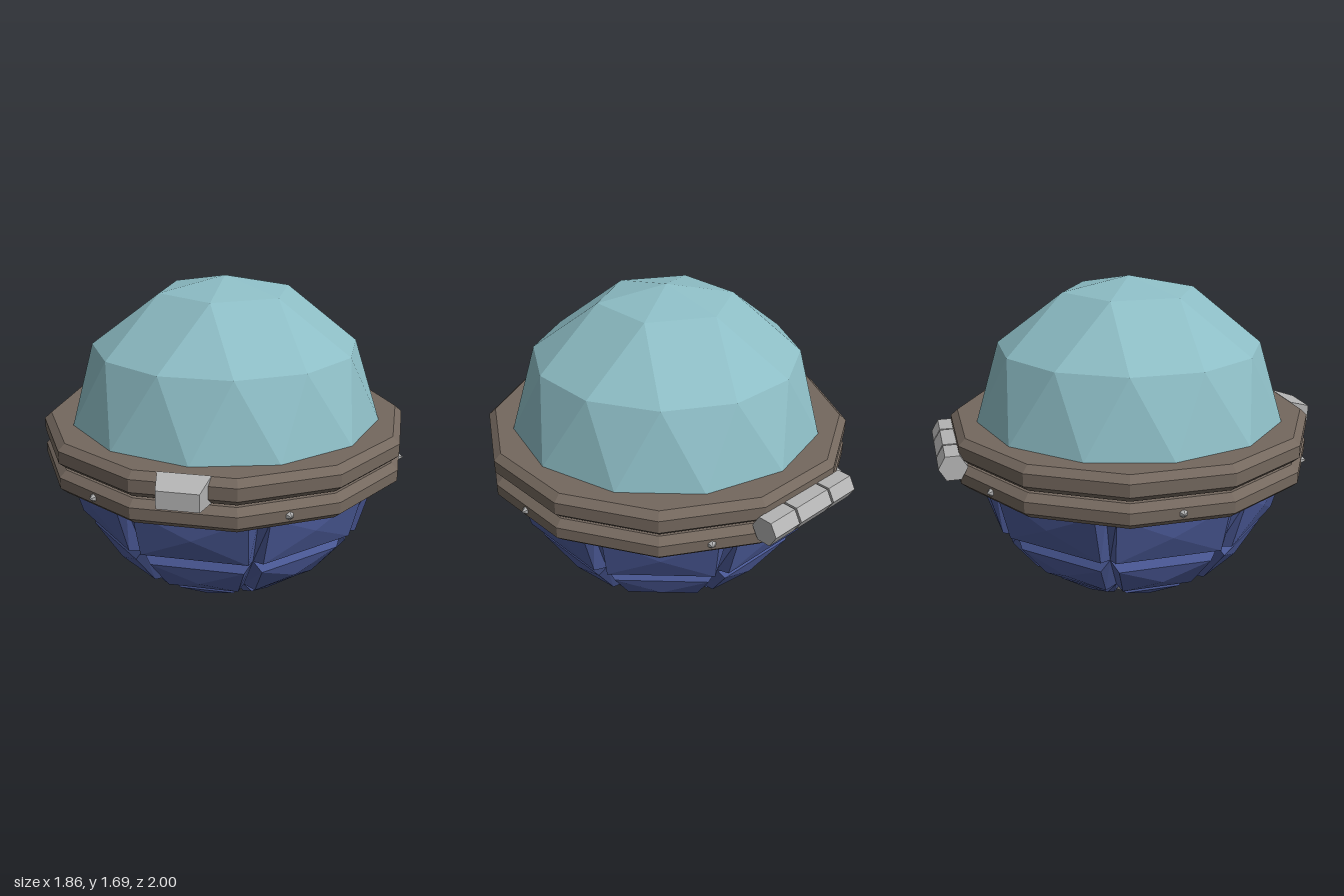
import * as THREE from 'three';

const mat = (name, color) => Object.assign(new THREE.MeshStandardMaterial({ color }), { name });

// Flat-shaded solid from convex polygons, each turned to face away from an inner point
function facets(polys, center) {
  const pos = [];
  const n = new THREE.Vector3(), u = new THREE.Vector3(), v = new THREE.Vector3();
  for (const p of polys) {
    for (let i = 1; i < p.length - 1; i++) {
      const t = [p[0], p[i], p[i + 1]];
      n.crossVectors(u.subVectors(t[1], t[0]), v.subVectors(t[2], t[0]));
      if (n.dot(u.subVectors(t[0], center)) < 0) t.reverse();
      t.forEach(q => pos.push(q.x, q.y, q.z));
    }
  }
  const g = new THREE.BufferGeometry();
  g.setAttribute('position', new THREE.Float32BufferAttribute(pos, 3));
  g.computeVertexNormals();
  return g;
}

function flat(g) {
  const f = g.index ? g.toNonIndexed() : g;
  f.computeVertexNormals();
  return f;
}

const V = (x, y, z) => new THREE.Vector3(x, y, z);
const polar = (r, deg, y) => {
  const a = THREE.MathUtils.degToRad(deg);
  return V(r * Math.sin(a), y, r * Math.cos(a));
};

// Lathe whose flat sides face the axes; radii are measured to the flats
function prismLathe(profile, sides) {
  const k = 1 / Math.cos(Math.PI / sides);
  const g = new THREE.LatheGeometry(profile.map(([r, y]) => new THREE.Vector2(r * k, y)), sides);
  return flat(g.rotateY(Math.PI / sides));
}

// Six-fold faceted dome
function domeGeometry() {
  const top = V(0, 1.69, 0);
  const hex = a => polar(0.34, a, 1.62);
  const mid = a => polar(0.673, a, 1.35);
  const base = a => polar(0.795, a, 0.985);
  const foot = a => polar(0.8, a, 0.9);
  const polys = [];
  for (let a = 0; a < 360; a += 60) {
    polys.push([top, hex(a), hex(a + 60)]);
    polys.push([hex(a), mid(a - 15), mid(a + 15)]);
    polys.push([hex(a), mid(a + 15), mid(a + 45), hex(a + 60)]);
  }
  for (let a = 0; a < 360; a += 30) {
    polys.push([base(a), mid(a - 15), mid(a + 15)]);
    polys.push([mid(a + 15), base(a), base(a + 30)]);
    polys.push([base(a), base(a + 30), foot(a + 30), foot(a)]);
  }
  return facets(polys, V(0, 0.95, 0));
}

// Raised panel facing +z: bevelled rim with a shallow pyramid on top
function panelGeometry({ base, outer, peak }) {
  const w = Math.tan(Math.PI / 8);
  const quad = ([[r0, y0, w0], [r1, y1, w1]]) =>
    [V(-w0, y0, r0), V(w0, y0, r0), V(w1, y1, r1), V(-w1, y1, r1)];
  const b = quad(base.map(([r, y]) => [r, y, r * w]));
  const o = quad(outer);
  const p = V(0, peak[1], peak[0]);
  const polys = [];
  for (let i = 0; i < 4; i++) {
    const j = (i + 1) % 4;
    polys.push([b[i], b[j], o[j], o[i]], [o[i], o[j], p]);
  }
  const c = b.reduce((s, q) => s.add(q), V(0, 0, 0)).multiplyScalar(0.25);
  return facets(polys, c);
}

export function createModel() {
  const glass = mat('pale teal', 0x8dbdc5);
  const brown = mat('brown', 0x74685e);
  const blue = mat('blue', 0x4d5c9b);
  const silver = mat('silver', 0xb4b4b4);

  const model = new THREE.Group();
  const body = new THREE.Group();
  body.name = 'body';
  body.position.z = 0.01;
  model.add(body);
  const add = (parent, name, geo, material) => {
    const m = new THREE.Mesh(geo, material);
    m.name = name;
    parent.add(m);
    return m;
  };

  add(body, 'dome', domeGeometry(), glass);

  // Two bevelled rims with a narrow seam between them
  const ring = (y0, y1) => prismLathe([
    [0.7, y0], [0.872, y0], [0.907, y0 + 0.032], [0.907, y1 - 0.032], [0.872, y1], [0.7, y1],
  ], 12);
  add(body, 'upperRim', ring(0.862, 0.988), brown);
  add(body, 'lowerRim', ring(0.732, 0.852), brown);
  add(body, 'rimSeam', prismLathe([[0.845, 0.84], [0.845, 0.875]], 12), brown);

  // Rivets on every second flat of the lower rim
  for (let a = 0; a < 6; a++) {
    const pivot = new THREE.Group();
    pivot.name = 'rivet';
    pivot.rotation.y = Math.PI / 6 + a * Math.PI / 3;
    const g = flat(new THREE.ConeGeometry(0.022, 0.026, 6).rotateX(Math.PI / 2));
    add(pivot, 'rivetHead', g, silver).position.set(0, 0.792, 0.918);
    body.add(pivot);
  }

  // Lower bowl: eight-sided core and three tiers of raised panels
  add(body, 'bowlCore', prismLathe([[0.001, 0.09], [0.2, 0.09], [0.46, 0.225], [0.65, 0.468], [0.75, 0.75]], 8), blue);
  const tiers = [
    { base: [[0.75, 0.745], [0.65, 0.468]], outer: [[0.792, 0.745, 0.272], [0.72, 0.482, 0.26]], peak: [0.778, 0.61] },
    { base: [[0.65, 0.468], [0.46, 0.225]], outer: [[0.67, 0.405, 0.23], [0.54, 0.225, 0.178]], peak: [0.63, 0.3] },
    { base: [[0.46, 0.225], [0.2, 0.09]], outer: [[0.46, 0.165, 0.14], [0.3, 0.07, 0.085]], peak: [0.4, 0.11] },
  ];
  tiers.forEach((tier, t) => {
    const g = panelGeometry(tier);
    for (let i = 0; i < 8; i++) add(body, `bowlPanelTier${t + 1}`, g, blue).rotation.y = i * Math.PI / 4;
  });

  // Octagonal foot
  add(body, 'foot', prismLathe([[0.0005, 0], [0.168, 0], [0.222, 0.065], [0.2, 0.11], [0.0005, 0.11]], 8), silver);

  // Tapered latch at the front
  const back = [V(-0.122, 0.862, 0.88), V(0.122, 0.862, 0.88), V(0.122, 0.99, 0.88), V(-0.122, 0.99, 0.88)];
  const front = [V(-0.097, 0.868, 1), V(0.097, 0.868, 1), V(0.097, 0.953, 1), V(-0.097, 0.953, 1)];
  const sides = back.map((p, i) => [p, back[(i + 1) % 4], front[(i + 1) % 4], front[i]]);
  add(model, 'latch', facets([back, front, ...sides], V(0, 0.92, 0.94)), silver);

  // Three-knuckle hinge at the back, held by a pin
  const bar = (r, len) => flat(new THREE.CylinderGeometry(r, r, len, 6).rotateZ(Math.PI / 2));
  for (const [x, len] of [[-0.204, 0.162], [0, 0.222], [0.204, 0.162]]) {
    add(model, 'hingeKnuckle', bar(0.07, len), silver).position.set(x, 0.862, -0.93);
  }
  add(model, 'hingePin', bar(0.058, 0.5), silver).position.set(0, 0.862, -0.93);

  return model;
}
